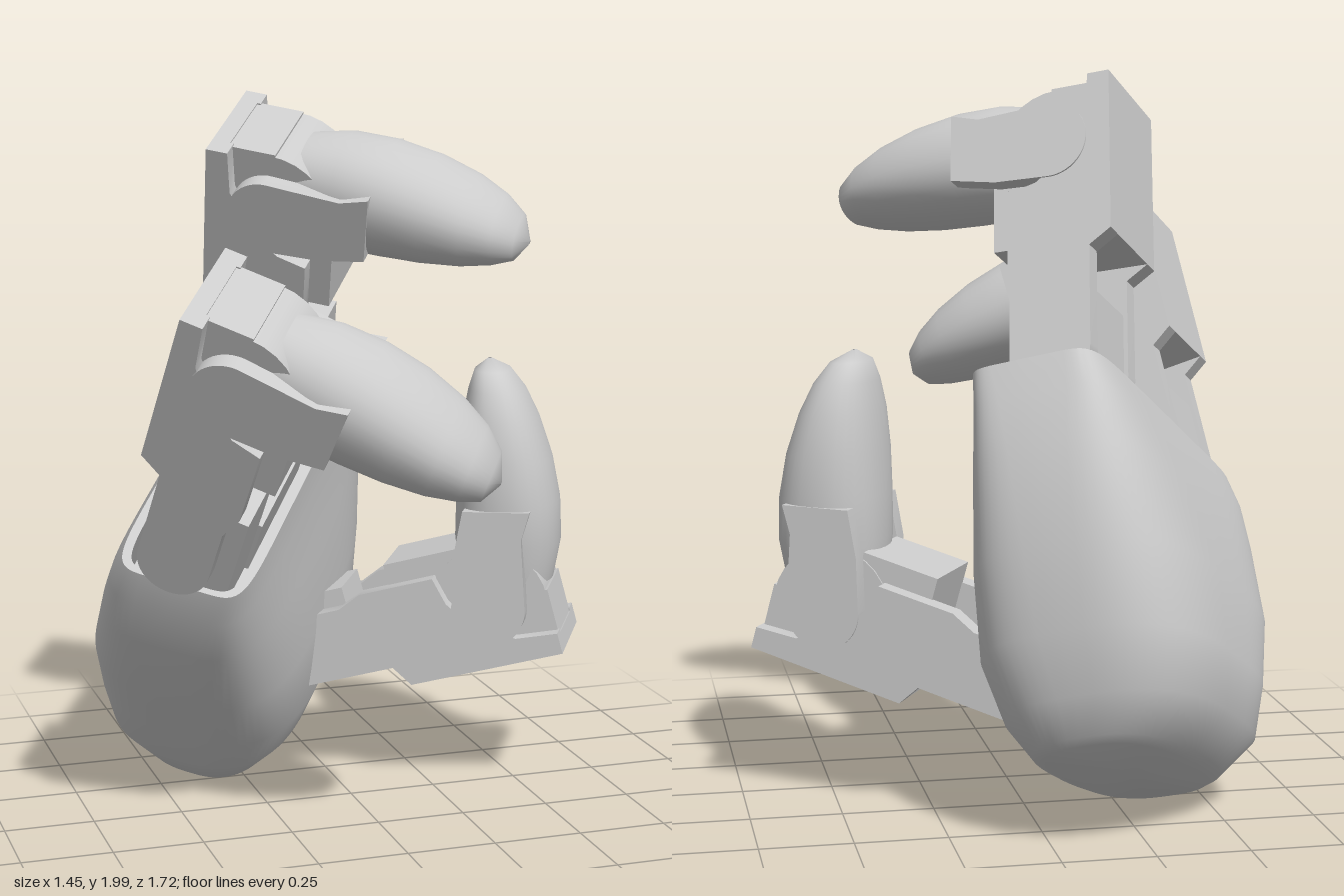
import * as THREE from 'three';
import { toCreasedNormals } from 'three/addons/utils/BufferGeometryUtils.js';

const material = new THREE.MeshStandardMaterial({ color: 0xcccccc, side: THREE.DoubleSide });

function addMesh(parent, name, geometry, x = 0, y = 0, z = 0) {
  const mesh = new THREE.Mesh(geometry, material);
  mesh.name = name;
  mesh.position.set(x, y, z);
  parent.add(mesh);
  return mesh;
}

// box given by its min and max on each axis
function addBlock(parent, name, x0, x1, y0, y1, z0, z1) {
  const box = new THREE.BoxGeometry(x1 - x0, y1 - y0, z1 - z0);
  return addMesh(parent, name, box, (x0 + x1) / 2, (y0 + y1) / 2, (z0 + z1) / 2);
}

// unit superellipse point: power 2 is round, higher is boxier
function rounded(t, power) {
  const f = (v) => Math.sign(v) * Math.pow(Math.abs(v), 2 / power);
  return [f(Math.cos(t)), f(Math.sin(t))];
}

// skin over a row of rings; point(station, angle) returns [x, y, z]
function loft(stations, sides, point, crease) {
  const positions = [], index = [];
  stations.forEach((s, i) => {
    for (let j = 0; j < sides; j++) {
      positions.push(...point(s, (j / sides) * Math.PI * 2));
      if (i === 0) continue;
      const a = (i - 1) * sides + j, b = (i - 1) * sides + (j + 1) % sides;
      index.push(a, a + sides, b, b, a + sides, b + sides);
    }
  });
  const geometry = new THREE.BufferGeometry();
  geometry.setAttribute('position', new THREE.Float32BufferAttribute(positions, 3));
  geometry.setIndex(index);
  return toCreasedNormals(geometry, crease);
}

// group whose x, y, z run along palm normal, finger length and hand width
function orientedGroup(name, up, width) {
  const u = new THREE.Vector3(...up).normalize();
  const w = new THREE.Vector3(...width);
  w.addScaledVector(u, -w.dot(u)).normalize();
  const n = new THREE.Vector3().crossVectors(u, w);
  const group = new THREE.Group();
  group.name = name;
  group.quaternion.setFromRotationMatrix(new THREE.Matrix4().makeBasis(n, u, w));
  return group;
}

function plateGeometry(shape, thickness) {
  const g = new THREE.ExtrudeGeometry(shape, { depth: thickness, bevelEnabled: false, curveSegments: 12 });
  g.translate(0, 0, -thickness / 2);
  return toCreasedNormals(g, 0.6);
}

// one jointed finger; the origin is its base joint
function buildFinger(name, tipAngle) {
  const finger = new THREE.Group();
  finger.name = name;

  // side plate: wide housing wall above, narrow arm with a round end below
  const side = new THREE.Shape();
  side.moveTo(-0.19, 0.78);
  side.lineTo(-0.19, 0.33);
  side.lineTo(-0.13, 0.29);
  side.lineTo(-0.13, 0.02);
  side.absarc(-0.03, 0.02, 0.1, Math.PI, Math.PI * 2, false);
  side.lineTo(0.07, 0.18);
  side.lineTo(0.1, 0.25);
  side.lineTo(0.1, 0.47);
  side.lineTo(0.02, 0.49);
  side.lineTo(-0.05, 0.54);
  side.lineTo(-0.12, 0.66);
  side.lineTo(-0.13, 0.78);
  side.closePath();

  // bracket that carries the fingertip
  const bracket = new THREE.Shape();
  bracket.moveTo(0.27, 0.71);
  bracket.lineTo(0.19, 0.69);
  bracket.lineTo(-0.02, 0.71);
  bracket.absarc(-0.02, 0.605, 0.105, Math.PI / 2, Math.PI * 1.5, false);
  bracket.lineTo(0.13, 0.5);
  bracket.lineTo(0.26, 0.52);
  bracket.closePath();

  // housing and base knuckle
  addBlock(finger, 'housingBack', -0.19, -0.14, 0.33, 0.78, -0.165, 0.165);
  addBlock(finger, 'housingTop', -0.15, -0.01, 0.5, 0.776, -0.125, 0.125);
  addBlock(finger, 'housingCore', -0.15, 0.16, 0.33, 0.55, -0.12, 0.12);
  addBlock(finger, 'baseKnuckle', -0.12, 0.12, -0.16, 0.19, -0.11, 0.11);

  // fingertip with its barrel joint, turning about the joint axis
  const tip = new THREE.Group();
  tip.name = 'fingertip';
  tip.position.set(-0.02, 0.6, 0);
  tip.rotation.z = tipAngle;
  finger.add(tip);
  const barrel = addMesh(tip, 'tipBarrel', new THREE.CylinderGeometry(0.17, 0.17, 0.25, 28));
  barrel.rotation.x = Math.PI / 2;
  // x, centre height, half height, half width
  const stations = [
    [0.06, 0.03, 0.01, 0.01], [0.07, 0.03, 0.135, 0.14], [0.18, 0.03, 0.151, 0.162],
    [0.3, 0.025, 0.147, 0.172], [0.42, 0.012, 0.132, 0.17], [0.53, -0.005, 0.107, 0.153],
    [0.61, -0.02, 0.08, 0.123], [0.665, -0.035, 0.05, 0.085], [0.695, -0.045, 0.004, 0.006],
  ];
  addMesh(tip, 'tipPad', loft(stations, 32, ([x, yc, hy, hw], t) => {
    const [c, s] = rounded(t, 2.3);
    return [x, yc + hy * c, -hw * s];
  }, 1));

  for (const sign of [-1, 1]) {
    addMesh(finger, 'sidePlate', plateGeometry(side, 0.055), 0, 0, sign * 0.142);
    addMesh(tip, 'tipBracket', plateGeometry(bracket, 0.05), 0.02, -0.6, sign * 0.15);
  }
  return finger;
}

function buildPalm() {
  // height, back, front, near edge, far edge, boxiness; then over the rim and inside
  const stations = [
    [-0.2, -0.46, -0.46, -0.32, -0.32, 2.7],
    [-0.2, -0.63, -0.29, -0.65, -0.01, 2.7],
    [-0.185, -0.67, -0.26, -0.68, 0.01, 2.7],
    [-0.1, -0.79, -0.22, -0.76, 0.05, 2.8],
    [0.05, -0.84, -0.21, -0.83, 0.095, 3],
    [0.25, -0.875, -0.27, -0.91, 0.16, 3.3],
    [0.5, -0.86, -0.36, -0.945, 0.22, 4.2],
    [0.65, -0.84, -0.42, -0.945, 0.235, 6],
    [0.75, -0.815, -0.45, -0.935, 0.225, 8],
    [0.75, -0.79, -0.475, -0.915, 0.205, 9],
    [0.56, -0.79, -0.475, -0.915, 0.205, 9],
    [0.56, -0.63, -0.63, -0.35, -0.35, 9],
  ];
  return loft(stations, 72, ([u, back, front, w0, w1, power], t) => {
    const [c, s] = rounded(t, power);
    const n = (back + front) / 2 + c * (front - back) / 2;
    const w = (w0 + w1) / 2 + s * (w1 - w0) / 2;
    return [n, u + 0.15 * (n + 0.62) - 0.05 * (w + 0.36), w];
  }, 0.75);
}

export function createModel() {
  const model = new THREE.Group();
  model.name = 'mechanicalHand';

  // palm shell with the block between the two fingers
  const hand = orientedGroup('hand', [0.1, 0.83, 0.54], [-0.54, -0.44, 0.72]);
  model.add(hand);
  addMesh(hand, 'palm', buildPalm());
  addBlock(hand, 'knuckleBlock', -0.76, -0.5, 0.5, 0.73, -0.54, -0.1);

  // two fingers, the second bent further back
  const front = buildFinger('frontFinger', 0);
  front.position.set(-0.625, 0.77, 0.062);
  const rear = buildFinger('rearFinger', 0.05);
  rear.position.set(-0.655, 0.8, -0.69);
  rear.rotation.z = 0.22;
  hand.add(front, rear);

  // thumb reaching out of the palm, tip upright
  const thumb = orientedGroup('thumb', [0.85, 0.27, 0.49], [0.48, 0, -0.88]);
  thumb.position.set(-0.055, 0.404, -0.325);
  thumb.add(buildFinger('thumbFinger', 0.3));
  model.add(thumb);

  return model;
}
